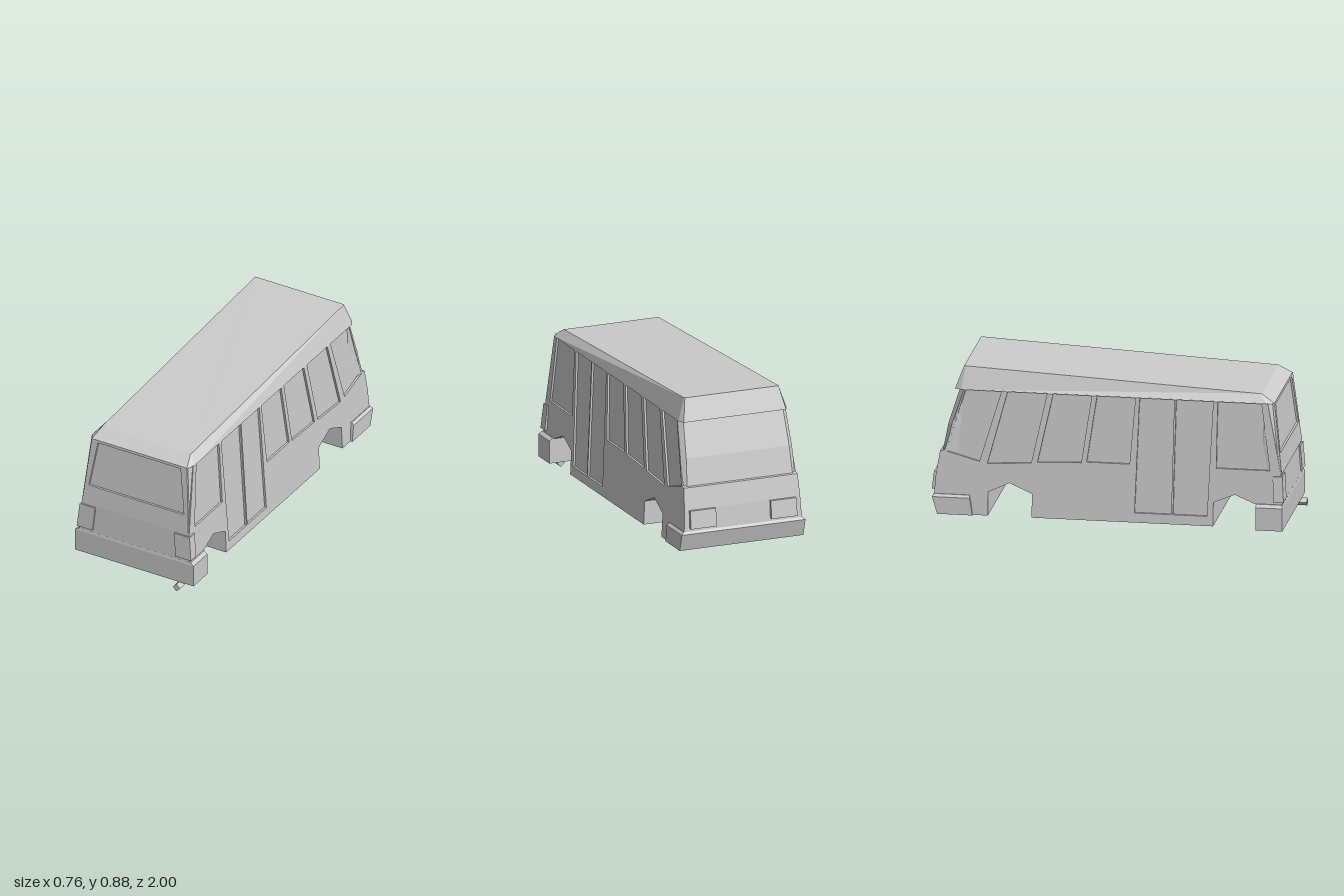
import * as THREE from 'three';

const material = new THREE.MeshStandardMaterial({ color: 0xcccccc, flatShading: true });
const SKIN = 0.012; // depth of the window recesses
const halfWidth = (y) => 0.362 - 0.049 * y; // sides lean inward towards the roof

function toShape(points, holes = []) {
  const shape = new THREE.Shape(points.map(([u, v]) => new THREE.Vector2(u, v)));
  for (const h of holes) shape.holes.push(new THREE.Path(h.map(([u, v]) => new THREE.Vector2(u, v))));
  return shape;
}

// Move every vertex by a rule
function warp(geometry, rule) {
  const p = geometry.attributes.position;
  const v = new THREE.Vector3();
  for (let i = 0; i < p.count; i++) {
    rule(v.fromBufferAttribute(p, i));
    p.setXYZ(i, v.x, v.y, v.z);
  }
  geometry.computeVertexNormals();
  return geometry;
}

// Extrude a (z, y) outline across x
function extrudeAcross(shape, depth) {
  return new THREE.ExtrudeGeometry(shape, { depth, bevelEnabled: false }).rotateY(-Math.PI / 2);
}

// Closed solid through stacked rings, bottom to top
function loft(rings) {
  const out = [];
  const n = rings[0].length;
  const tri = (a, b, c) => out.push(...a, ...b, ...c);
  for (let r = 0; r < rings.length - 1; r++) {
    for (let i = 0; i < n; i++) {
      const j = (i + 1) % n;
      const [a, b] = [rings[r], rings[r + 1]];
      tri(a[i], a[j], b[j]);
      tri(a[i], b[j], b[i]);
    }
  }
  const top = rings[rings.length - 1];
  for (let i = 1; i < n - 1; i++) {
    tri(rings[0][0], rings[0][i + 1], rings[0][i]);
    tri(top[0], top[i], top[i + 1]);
  }
  const g = new THREE.BufferGeometry();
  g.setAttribute('position', new THREE.Float32BufferAttribute(out, 3));
  g.computeVertexNormals();
  return g;
}

// Ring from its +x half, listed front to back, and mirrored
const mirrorRing = (half) => [...half, ...half.map(([x, y, z]) => [-x, y, z]).reverse()];
const rectRing = (x0, x1, y, zBack, zFront) => [[x1, y, zFront], [x1, y, zBack], [x0, y, zBack], [x0, y, zFront]];

export function createModel() {
  const group = new THREE.Group();
  const add = (name, geometry) => {
    const mesh = new THREE.Mesh(geometry, material);
    mesh.name = name;
    group.add(mesh);
  };

  // Side outline (z, y) with both wheel arches
  const outline = [
    [0.58, 0.05], [0.58, 0.185], [0.7, 0.235], [0.82, 0.185], [0.967, 0.185], [0.957, 0.36], [0.88, 0.76],
    [-0.82, 0.76], [-0.925, 0.412], [-0.95, 0.405], [-0.972, 0.28], [-0.983, 0.15], [-0.955, 0.05],
    [-0.68, 0.05], [-0.68, 0.185], [-0.56, 0.24], [-0.435, 0.185], [-0.435, 0.05],
  ];
  const openings = [
    [[0.895, 0.38], [0.595, 0.38], [0.6, 0.757], [0.845, 0.757]], // cab window
    [[0.545, 0.105], [0.355, 0.105], [0.368, 0.757], [0.575, 0.757]], // door leaves
    [[0.345, 0.105], [0.14, 0.105], [0.163, 0.757], [0.357, 0.757]],
    [[0.11, 0.38], [-0.13, 0.38], [-0.075, 0.757], [0.14, 0.757]], // cabin windows
    [[-0.16, 0.375], [-0.405, 0.365], [-0.32, 0.757], [-0.105, 0.757]],
    [[-0.44, 0.36], [-0.685, 0.345], [-0.575, 0.757], [-0.355, 0.757]],
    [[-0.73, 0.355], [-0.915, 0.405], [-0.812, 0.757], [-0.61, 0.757]],
  ];

  // Inner body, whose flanks form the glass and door surfaces
  add('bodyCore', warp(extrudeAcross(toShape(outline), 1), (v) => {
    v.x = (v.x < -0.5 ? -1 : 1) * (halfWidth(v.y) - SKIN);
  }));

  // Outer skins with window and door openings
  for (const s of [1, -1]) {
    add(s > 0 ? 'leftSide' : 'rightSide', warp(extrudeAcross(toShape(outline, openings), SKIN), (v) => {
      v.x = s > 0 ? v.x + halfWidth(v.y) : v.x + SKIN - halfWidth(v.y);
    }));
  }

  // Windscreen backing with chamfered corner pillars
  const frontZ = (y) => 0.961 - (y - 0.36) * 0.115;
  add('windscreen', loft([0.36, 0.76].map((y, i) => mirrorRing([
    [i ? 0.305 : 0.341, y, frontZ(y) - SKIN],
    [halfWidth(y), y, i ? 0.875 : 0.95],
    [halfWidth(y) - 0.02, y, 0.84],
  ]))));

  // Windscreen frame
  const frame = toShape(
    [[-0.341, 0.36], [0.341, 0.36], [0.305, 0.76], [-0.305, 0.76]],
    [[[-0.305, 0.475], [0.305, 0.475], [0.265, 0.745], [-0.265, 0.745]]],
  );
  add('windscreenFrame', warp(
    new THREE.ExtrudeGeometry(frame, { depth: SKIN, bevelEnabled: false }),
    (v) => { v.z += frontZ(v.y) - SKIN; },
  ));

  // Curved upper tail with chamfered corners
  add('upperTail', loft([[0.405, -0.92, -0.938], [0.56, -0.885, -0.908], [0.76, -0.82, -0.845]].map(([y, zSide, zBack]) =>
    mirrorRing([[halfWidth(y) - 0.02, y, -0.8], [halfWidth(y), y, zSide], [halfWidth(y) - 0.025, y, zBack]]))));

  // Roof, rising to the rear with an overhanging back edge
  add('roof', loft([
    mirrorRing([[0.305, 0.758, 0.915], [0.326, 0.758, 0.875], [0.326, 0.758, -0.835], [0.308, 0.758, -0.872]]),
    mirrorRing([[0.283, 0.804, 0.84], [0.285, 0.805, 0.825], [0.285, 0.884, -0.815], [0.282, 0.885, -0.825]]),
  ]));

  // Bumpers
  add('frontBumper', loft([
    rectRing(-0.38, 0.38, 0.045, 0.82, 0.97),
    rectRing(-0.38, 0.38, 0.175, 0.82, 0.97),
    rectRing(-0.36, 0.36, 0.19, 0.82, 0.967),
  ]));
  add('rearBumper', loft([
    rectRing(-0.372, 0.372, 0.05, -0.962, -0.765),
    rectRing(-0.372, 0.372, 0.148, -0.991, -0.78),
    rectRing(-0.358, 0.358, 0.162, -0.982, -0.785),
  ]));

  // Lamps on both sides
  for (const s of [1, -1]) {
    const span = (a, b, ...rest) => (s > 0 ? rectRing(a, b, ...rest) : rectRing(-b, -a, ...rest));
    const side = s > 0 ? 'left' : 'right';
    add(side + 'Headlight', loft([span(0.265, 0.366, 0.207, 0.917, 0.975), span(0.254, 0.352, 0.35, 0.912, 0.966)]));
    add(side + 'TailLight', loft([span(0.165, 0.32, 0.178, -1, -0.96), span(0.165, 0.32, 0.28, -0.988, -0.95)]));
  }

  // Short square rod below the front bumper
  const rod = new THREE.CylinderGeometry(0.023, 0.023, 0.13, 4).rotateX(Math.PI / 2);
  add('frontRod', rod.translate(0.288, 0.023, 0.935));

  return group;
}
